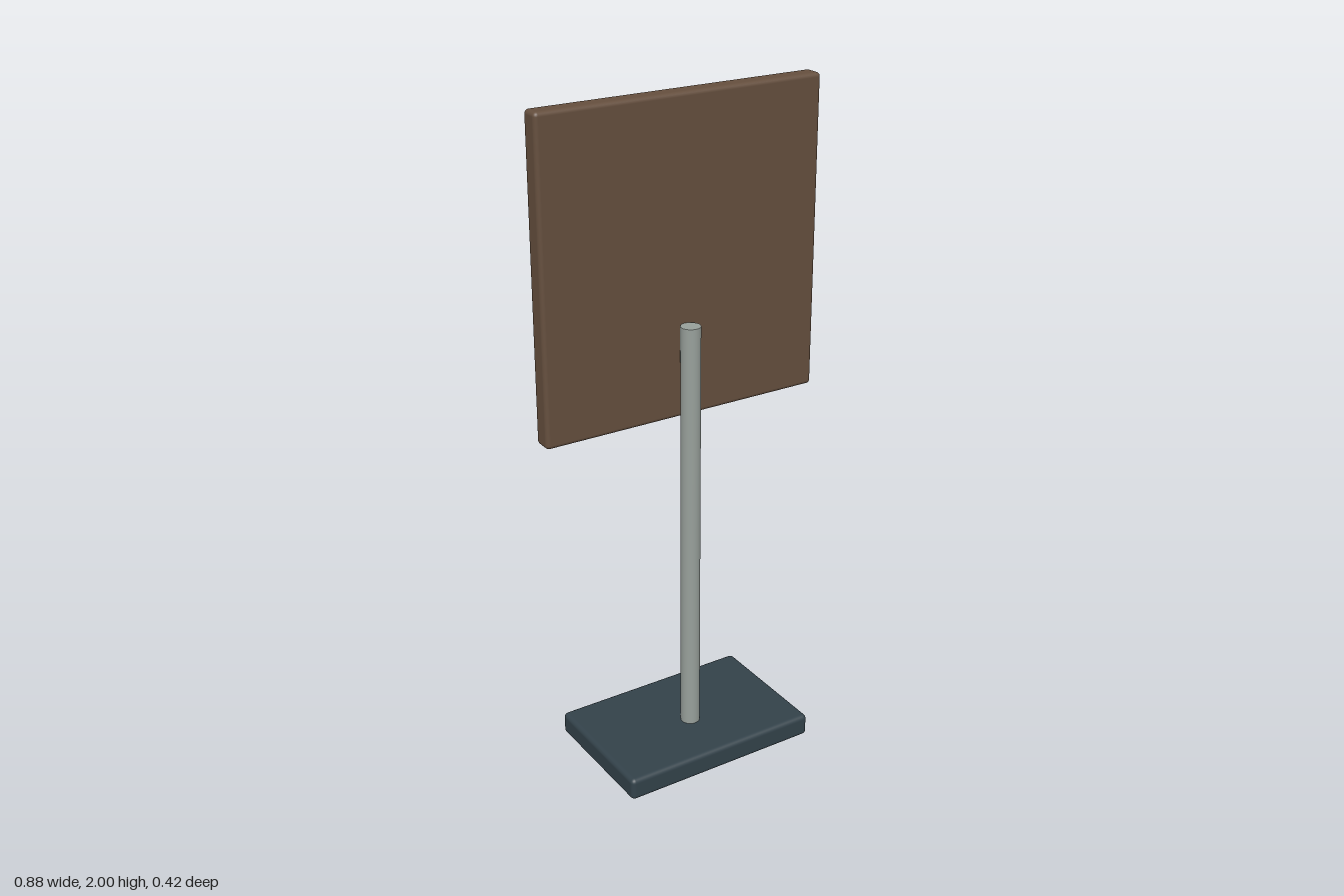
import * as THREE from 'three';
import { RoundedBoxGeometry } from 'three/addons/geometries/RoundedBoxGeometry.js';

const mat = (color) => new THREE.MeshStandardMaterial({ color });

export function createModel() {
  const model = new THREE.Group();
  model.name = 'noticeBoard';

  const wood = mat(0x654f3e), panelWood = mat(0x8a6b50), slate = mat(0x33424a);
  const steel = mat(0x98a09b), paperMat = mat(0xc9c0a2), ink = mat(0x343a44), pinMat = mat(0x7a4a3e);

  function add(name, geometry, material, x, y, z) {
    const mesh = new THREE.Mesh(geometry, material);
    mesh.name = name;
    mesh.position.set(x, y, z);
    model.add(mesh);
    return mesh;
  }

  // Slab given by its extents, with softly rounded edges
  function slab(name, material, [x0, x1], [y0, y1], [z0, z1], radius) {
    const geometry = new RoundedBoxGeometry(x1 - x0, y1 - y0, z1 - z0, 3, radius);
    return add(name, geometry, material, (x0 + x1) / 2, (y0 + y1) / 2, (z0 + z1) / 2);
  }

  // Foot and the two layers of the board
  slab('base', slate, [-0.315, 0.315], [0, 0.07], [-0.21, 0.21], 0.014);
  slab('backBoard', wood, [-0.442, 0.442], [1.08, 2], [-0.06, 0], 0.012);
  slab('frontPanel', panelWood, [-0.407, 0.407], [1.113, 1.968], [-0.082, -0.058], 0.005);

  // Round pole standing on the foot, in front of the board's plain face
  add('pole', new THREE.CylinderGeometry(0.029, 0.029, 1.3, 32), steel, 0, 0.71, 0.029);

  // Notice sheet
  add('paper', new THREE.BoxGeometry(0.578, 0.66, 0.005), paperMat, -0.04, 1.57, -0.0885);

  // Lines of writing, as plain bars of three repeating lengths
  const lengths = [0.41, 0.37, 0.32];
  for (let i = 0; i < 7; i++) {
    const bar = new THREE.BoxGeometry(lengths[i % 3], 0.013, 0.004);
    add('writtenLine', bar, ink, i % 3 === 2 ? -0.05 : -0.06, 1.83 - i * 0.0755, -0.0925);
  }

  // Pins in the sheet's upper corners
  for (const x of [-0.277, 0.215]) {
    add('pin', new THREE.SphereGeometry(0.011, 16, 10), pinMat, x, 1.857, -0.099).scale.z = 0.7;
  }

  return model;
}
